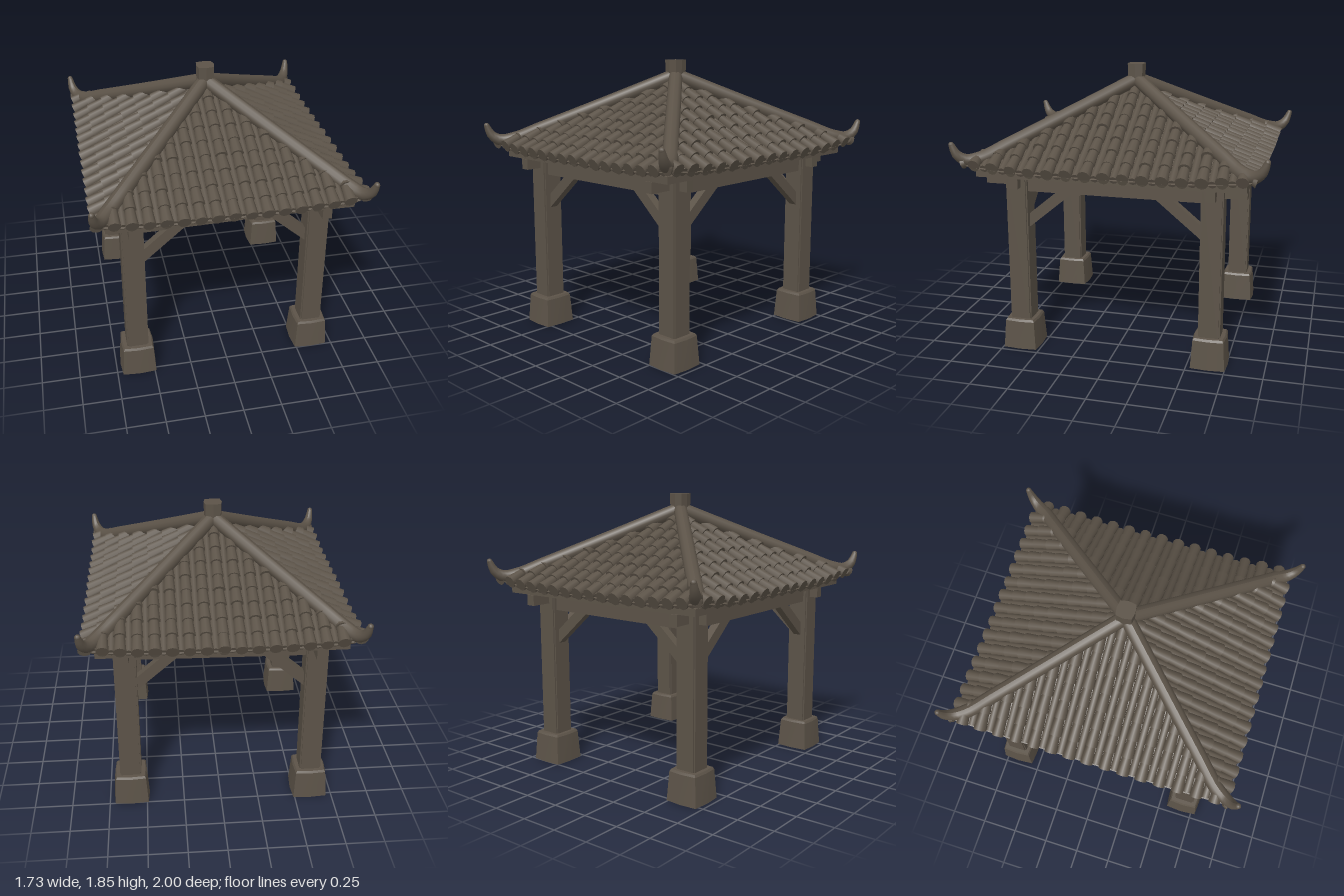
import * as THREE from 'three';
import { mergeGeometries, toCreasedNormals } from 'three/addons/utils/BufferGeometryUtils.js';

const HALF_X = 0.835, HALF_Z = 0.915;        // eave half sizes
const POST_X = 0.602;
const POSTS = [                              // hand-set posts, slightly out of square
  [POST_X, 0.632], [-POST_X, 0.67], [-POST_X, -0.665], [POST_X, -0.64],
];
const roofY = (t) => 1.705 - 0.46 * t + 0.015 * t * t; // t: 0 apex, 1 eave
const cornerLift = (f) => 0.04 * f ** 4;               // f: 0 middle, 1 corner

export function createModel() {
  const model = new THREE.Group();
  model.name = 'pavilion';
  const wood = new THREE.MeshStandardMaterial({ color: 0x5c5348, side: THREE.DoubleSide });
  wood.name = 'weathered brown';

  let seed = 7;
  const rand = () => ((seed = (seed * 16807) % 2147483647) / 2147483647) - 0.5;

  const add = (name, geometry, parent = model) => {
    const mesh = new THREE.Mesh(geometry, wood);
    mesh.name = name;
    parent.add(mesh);
    return mesh;
  };
  const box = (name, w, h, d, x, y, z, turn = 0) => {
    const mesh = add(name, new THREE.BoxGeometry(w, h, d));
    mesh.position.set(x, y, z);
    mesh.rotation.y = turn;
    return mesh;
  };
  // square block with gently bulging sides; sizes are half widths and corner radii
  const block = (topHalf, bottomHalf, h, corner) => {
    const g = new THREE.CylinderGeometry(topHalf, bottomHalf, h, 8);
    const p = g.attributes.position;
    for (let i = 0; i < p.count; i++) {
      const x = p.getX(i), z = p.getZ(i);
      const k = Math.min(Math.abs(x), Math.abs(z)) > 0.001 ? corner : 1;
      p.setXYZ(i, x * k, p.getY(i), z * k);
    }
    return toCreasedNormals(g, 0.2);
  };
  // straight cylinder stretched between two points
  const rod = (a, b, rStart, rEnd, sides) => {
    const dir = b.clone().sub(a);
    const g = new THREE.CylinderGeometry(rEnd, rStart, dir.length(), sides);
    g.applyQuaternion(new THREE.Quaternion().setFromUnitVectors(new THREE.Vector3(0, 1, 0), dir.normalize()));
    const m = a.clone().add(b).multiplyScalar(0.5);
    return g.translate(m.x, m.y, m.z);
  };

  // post section: square with small notched corners
  const a = 0.071, n = 0.062;
  const section = new THREE.Shape([
    [n, -a], [n, -n], [a, -n], [a, n], [n, n], [n, a],
    [-n, a], [-n, n], [-a, n], [-a, -n], [-n, -n], [-n, -a],
  ].map(([x, y]) => new THREE.Vector2(x, y)));

  for (const [x, z] of POSTS) {
    const sx = Math.sign(x), sz = Math.sign(z);
    const post = add('post', new THREE.ExtrudeGeometry(section, { depth: 1.1, bevelEnabled: false }));
    post.rotation.x = -Math.PI / 2;
    post.position.set(x, 0.15, z);

    // stone foot with a bevelled rim
    const foot = add('foot', block(0.107, 0.12, 0.19, 1.31));
    foot.position.set(x, 0.1, z);
    const rim = add('footRim', block(0.098, 0.107, 0.014, 1.31));
    rim.position.set(x, 0.202, z);

    // diagonal braces to both beams
    for (const alongX of [true, false]) {
      const from = new THREE.Vector3(x, 0.87, z), to = new THREE.Vector3(x, 1.16, z);
      if (alongX) { from.x = sx * 0.56; to.x = sx * 0.23; }
      else { from.z = z - sz * 0.045; to.z = z - sz * 0.395; }
      const brace = add('brace', new THREE.BoxGeometry(0.055, 0.07, from.distanceTo(to)));
      brace.position.copy(from).add(to).multiplyScalar(0.5);
      brace.lookAt(to);
    }
  }

  // cross beams with projecting ends, following the posts
  for (const [z, turn] of [[0.651, 0.032], [-0.652, -0.021]]) {
    box('crossBeam', 1.12, 0.12, 0.085, 0, 1.14, z, turn);
    box('crossBeamEnds', 1.46, 0.075, 0.06, 0, 1.158, z, turn);
  }
  // side beams, and the slim purlins carrying the eaves
  for (const s of [-1, 1]) {
    box('sideBeam', 0.085, 0.11, 1.22, s * POST_X, 1.145, 0);
    box('sideBeamEnds', 0.06, 0.07, 1.7, s * POST_X, 1.16, 0);
    box('sidePurlin', 0.04, 0.045, 1.72, s * 0.75, 1.222, 0);
    box('crossPurlin', 1.54, 0.045, 0.04, 0, 1.222, s * 0.84);
  }

  // four roof slopes, each built facing +z and turned into place
  const slope = (halfW, depth, spacing, courses) => {
    const sheet = new THREE.PlaneGeometry(2, 1, 24, 8);
    const p = sheet.attributes.position;
    for (let i = 0; i < p.count; i++) {
      const t = 0.5 - p.getY(i), f = p.getX(i) * t;
      p.setXYZ(i, f * halfW, roofY(t) + cornerLift(f) - 0.015, t * depth);
    }
    sheet.computeVertexNormals();

    const covers = [], pans = [];
    const rows = Math.floor(halfW / spacing);
    for (let r = -2 * rows; r <= 2 * rows; r++) {
      const s = r * spacing / 2, start = Math.abs(s) / halfW;
      const at = (t, lift) => new THREE.Vector3(s, roofY(t) + cornerLift(start) + lift, t * depth);
      if (r % 2) {                            // low tile channel
        if (start < 0.97) pans.push(rod(at(start, -0.02), at(0.985, -0.02), 0.024, 0.027, 8));
        continue;
      }
      for (let k = 0; k < courses; k++) {     // overlapping cover tiles
        const t0 = Math.max(k / courses, start), t1 = (k + 1) / courses;
        if (t1 - t0 < 0.015) continue;
        const lift = rand() * 0.008;
        covers.push(rod(at(t0, lift - 0.002), at(t1 + 0.008, lift + 0.002), 0.031, 0.04 + rand() * 0.005, 10));
      }
      // round end tile hanging at the eave
      if (start < 0.95) covers.push(rod(at(0.95, -0.018), at(1, -0.012), 0.03, 0.032, 10));
    }
    return { sheet, covers: mergeGeometries(covers), pans: mergeGeometries(pans) };
  };
  const frontSlope = slope(HALF_X, HALF_Z, 0.1025, 9);
  const sideSlope = slope(HALF_Z, HALF_X, 0.12, 8);
  for (let i = 0; i < 4; i++) {
    const g = i % 2 ? sideSlope : frontSlope;
    const side = new THREE.Group();
    side.name = 'roofSlope';
    side.rotation.y = i * Math.PI / 2;
    add('roofSheet', g.sheet, side);
    add('coverTiles', g.covers, side);
    add('panTiles', g.pans, side);
    model.add(side);
  }

  // hip ridges ending in upturned horns
  const SEG = 44, SIDES = 12;
  for (const sx of [-1, 1]) for (const sz of [-1, 1]) {
    const pts = [0, 0.25, 0.5, 0.75, 0.9].map((t) =>
      new THREE.Vector3(sx * t * HALF_X, roofY(t) + 0.045 - 0.033 * t, sz * t * HALF_Z));
    for (const [x, y, z] of [[0.802, 1.312, 0.9], [0.834, 1.35, 0.952], [0.846, 1.415, 0.98]]) {
      pts.push(new THREE.Vector3(sx * x, y, sz * z));
    }
    const curve = new THREE.CatmullRomCurve3(pts);
    const tube = new THREE.TubeGeometry(curve, SEG, 0.047, SIDES);
    const p = tube.attributes.position, v = new THREE.Vector3();
    for (let i = 0; i < p.count; i++) {
      const u = Math.floor(i / (SIDES + 1)) / SEG;
      const k = u < 0.84 ? 1 : 1 - 0.6 * ((u - 0.84) / 0.16) ** 1.4;
      const c = curve.getPointAt(u);
      v.fromBufferAttribute(p, i).sub(c).multiplyScalar(k).add(c);
      p.setXYZ(i, v.x, v.y, v.z);
    }
    tube.computeVertexNormals();
    add('hipRidge', tube);
    add('hornTip', new THREE.SphereGeometry(0.0188, 10, 8)).position.copy(pts[pts.length - 1]);
  }

  // squarish finial, slightly flared
  add('finial', block(0.06, 0.054, 0.2, 1.2)).position.y = 1.755;

  return model;
}
